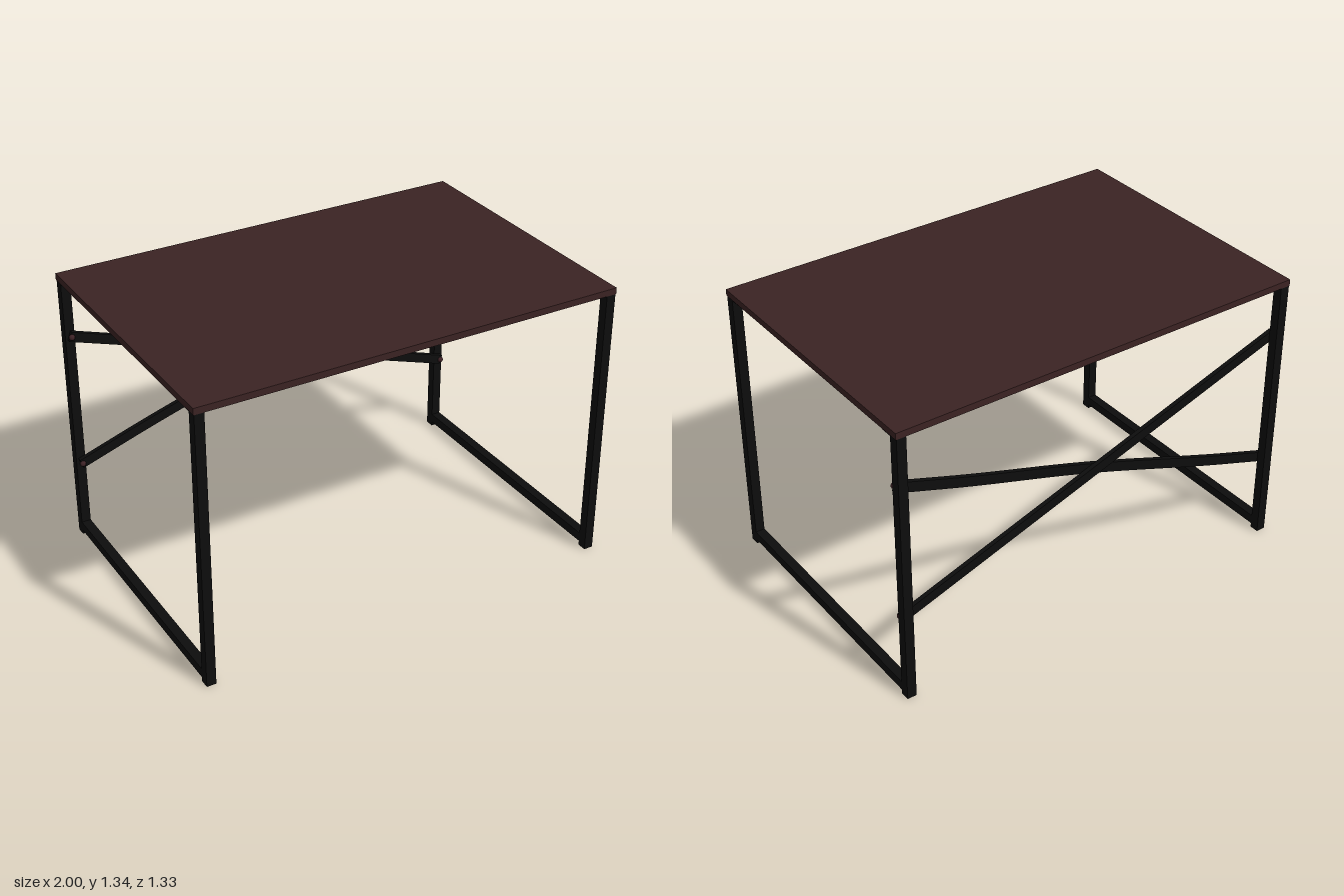
import * as THREE from 'three';

export function createModel() {
  const model = new THREE.Group();
  const wood = new THREE.MeshStandardMaterial({ color: 0x3b2323 });
  wood.name = 'dark wood';
  const metal = new THREE.MeshStandardMaterial({ color: 0x0d0d0d });
  metal.name = 'black metal';
  const boltMat = new THREE.MeshStandardMaterial({ color: 0x3d2226 });
  boltMat.name = 'bolt brown';

  const add = (name, geometry, material, x, y, z) => {
    const mesh = new THREE.Mesh(geometry, material);
    mesh.name = name;
    mesh.position.set(x, y, z);
    model.add(mesh);
    return mesh;
  };
  const box = (name, mat, w, h, d, x, y, z) => add(name, new THREE.BoxGeometry(w, h, d), mat, x, y, z);
  const bolt = (name, r, x, y, z) => add(name, new THREE.SphereGeometry(r, 16, 10), boltMat, x, y, z);

  // Table top
  box('tableTop', wood, 2, 0.03, 1.334, 0, 1.32, 0);

  // Square-tube side frames with a floor rail, and mounting tabs under the top
  const T = 0.044, legX = 0.975, legZ = 0.644;
  for (const sx of [1, -1]) {
    const side = sx > 0 ? 'left' : 'right';
    box(side + 'FloorRail', metal, T, T, 2 * legZ - T, sx * legX, 0.043, 0);
    for (const sz of [1, -1]) {
      const end = side + (sz > 0 ? 'Front' : 'Rear');
      box(end + 'Leg', metal, T, 1.305, T, sx * legX, 0.6525, sz * legZ);
      box(end + 'MountingTab', metal, T, 0.006, 0.058, sx * legX, 1.302, sz * 0.594);
      bolt(end + 'TabBolt', 0.013, sx * legX, 1.3, sz * 0.588);
    }
  }

  // Flat cross brace, optionally bowed forward so it clears the other one
  const braceGeometry = (bow) => {
    const half = 1.033, flat = 0.8, thick = 0.021, front = [], back = [];
    for (let i = 0; i <= 24; i++) {
      const u = -flat + (2 * flat * i) / 24;
      const z = bow * (0.5 + 0.5 * Math.cos((Math.PI * u) / flat));
      front.push(new THREE.Vector2(u, z + thick));
      back.unshift(new THREE.Vector2(u, z));
    }
    const shape = new THREE.Shape([
      new THREE.Vector2(-half, 0), new THREE.Vector2(-half, thick), ...front,
      new THREE.Vector2(half, thick), new THREE.Vector2(half, 0), ...back,
    ]);
    const geometry = new THREE.ExtrudeGeometry(shape, { depth: 0.046, bevelEnabled: false });
    geometry.translate(0, 0, -0.023);
    geometry.rotateX(Math.PI / 2);
    return geometry;
  };
  const braceY = 0.72, braceZ = -0.621, slope = Math.atan2(0.327, 0.975);
  add('bowedBrace', braceGeometry(0.023), metal, 0, braceY, braceZ).rotation.z = slope;
  add('straightBrace', braceGeometry(0), metal, 0, braceY, braceZ).rotation.z = -slope;

  // Brace bolts
  bolt('braceCentreBolt', 0.014, 0, braceY, -0.574);
  for (const sx of [1, -1]) {
    for (const sy of [1, -1]) bolt('braceEndBolt', 0.014, sx * legX, braceY + sy * 0.326, -0.599);
  }
  return model;
}
